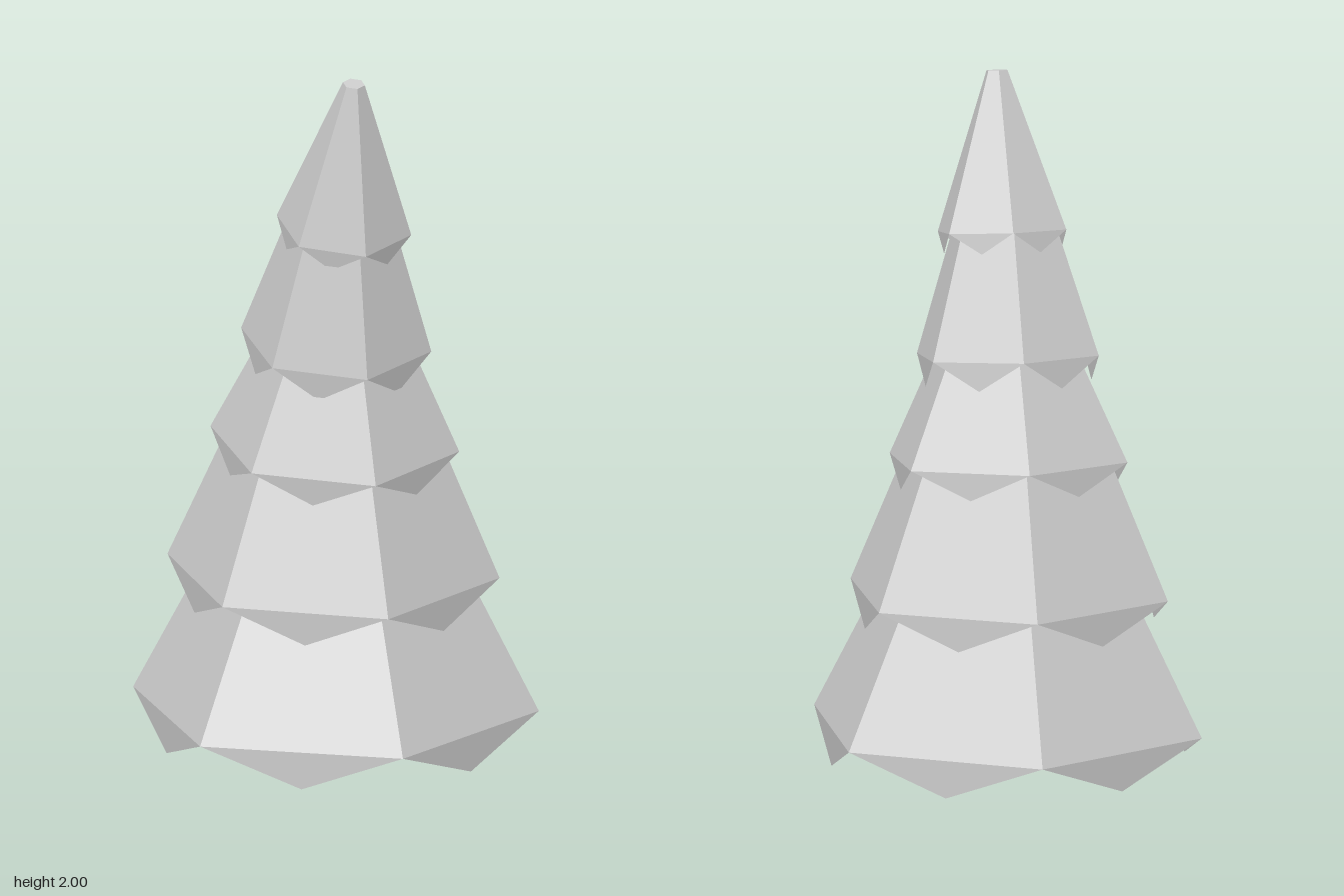
import * as THREE from 'three';

const material = new THREE.MeshStandardMaterial({ color: 0xcccccc, flatShading: true });
const flapMaterial = new THREE.MeshStandardMaterial({ color: 0xcccccc, flatShading: true, side: THREE.DoubleSide });

// Six pointed triangles hanging from the edges of a hexagon, like drooping branches
function flapGeometry(radius, drop) {
  const points = [];
  const corner = (i) => [radius * Math.sin(i * Math.PI / 3), 0, radius * Math.cos(i * Math.PI / 3)];
  for (let i = 0; i < 6; i++) {
    const a = corner(i), b = corner(i + 1);
    points.push(...a, (a[0] + b[0]) / 2, -drop, (a[2] + b[2]) / 2, ...b);
  }
  const geometry = new THREE.BufferGeometry();
  geometry.setAttribute('position', new THREE.Float32BufferAttribute(points, 3));
  geometry.computeVertexNormals();
  return geometry;
}

// One layer of foliage: a capped six-sided cone stump with its hanging tips
function makeTier({ x, y, z, radius, top, height, drop, tilt }) {
  const tier = new THREE.Group();
  const cone = new THREE.Mesh(
    new THREE.CylinderGeometry(top, radius, height, 6).translate(0, height / 2, 0), material);
  cone.name = 'foliageCone';
  const flaps = new THREE.Mesh(flapGeometry(radius, drop), flapMaterial);
  flaps.name = 'branchTips';
  tier.add(cone, flaps);
  tier.position.set(x, y, z);
  tier.rotation.x = tilt; // upper layers lean forward more and more
  return tier;
}

export function createModel() {
  const tree = new THREE.Group();
  tree.name = 'tree';
  const tiers = [
    { x: 0, y: 0.11, z: 0, radius: 0.59, top: 0.356, height: 0.45, drop: 0.11, tilt: 0 },
    { x: 0, y: 0.502, z: -0.022, radius: 0.483, top: 0.3, height: 0.42, drop: 0.098, tilt: 0.027 },
    { x: 0, y: 0.887, z: -0.01, radius: 0.362, top: 0.19, height: 0.36, drop: 0.08, tilt: 0.09 },
    { x: 0, y: 1.188, z: 0.002, radius: 0.277, top: 0.14, height: 0.42, drop: 0.083, tilt: 0.137 },
    { x: 0.01, y: 1.543, z: 0.042, radius: 0.196, top: 0.032, height: 0.458, drop: 0.06, tilt: 0.19 },
  ];
  tiers.forEach((data, i) => {
    const tier = makeTier(data);
    tier.name = `foliageTier${i + 1}`;
    tree.add(tier);
  });
  return tree;
}
